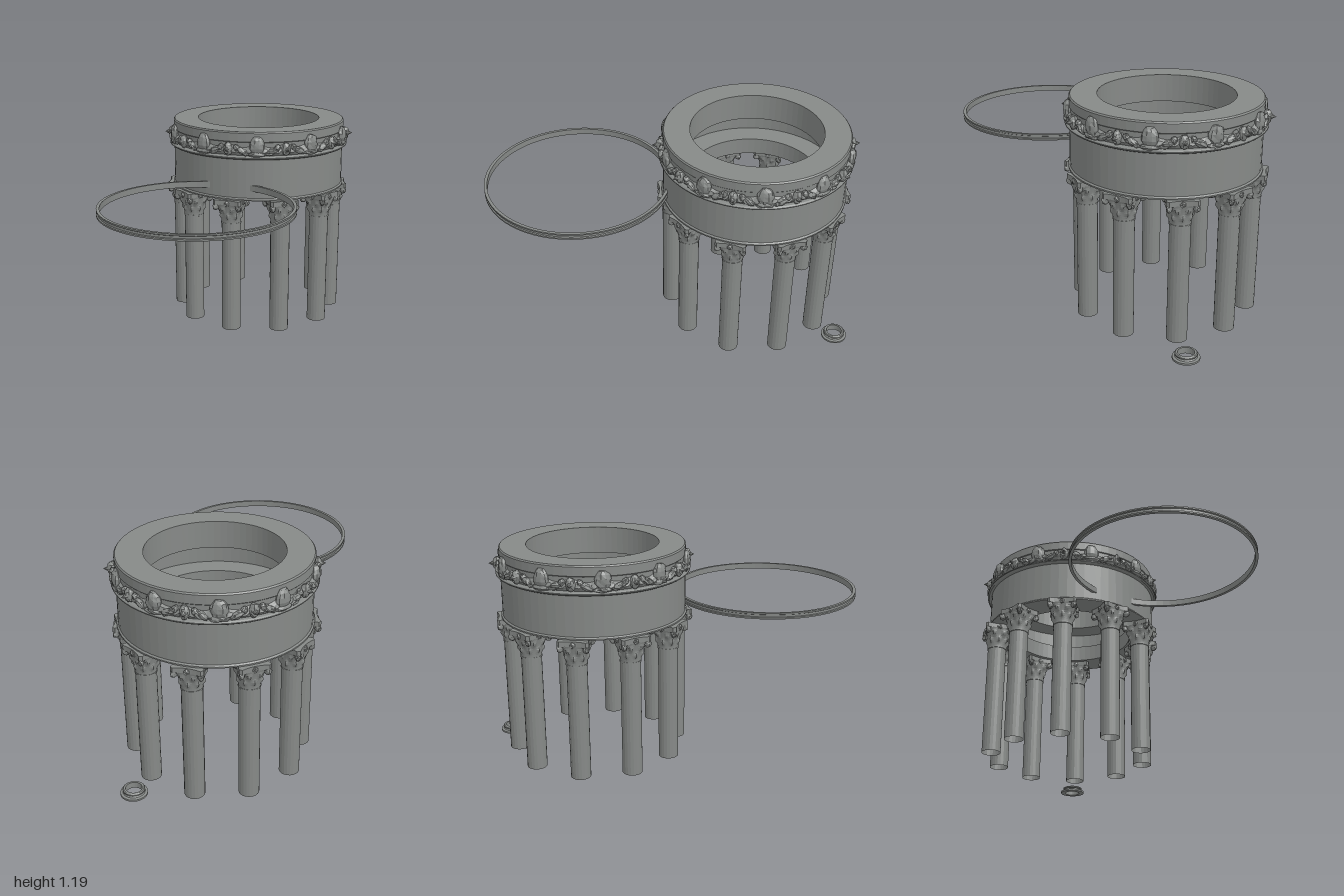
import * as THREE from 'three';
import { mergeGeometries } from 'three/addons/utils/BufferGeometryUtils.js';

const CZ = -0.445; // centre of the round temple in z
const COUNT = 10;
const STEP = (Math.PI * 2) / COUNT;

const stone = new THREE.MeshStandardMaterial({ color: 0x868987, flatShading: true, side: THREE.DoubleSide });
stone.name = 'grey stone';

function add(parent, name, geometry, x = 0, y = 0, z = 0) {
  const mesh = new THREE.Mesh(geometry, stone);
  mesh.name = name;
  mesh.position.set(x, y, z);
  parent.add(mesh);
  return mesh;
}

// Closed ring turned from [radius, height] points
function turned(points, segments) {
  const loop = [...points, points[0]];
  return new THREE.LatheGeometry(loop.map(([r, y]) => new THREE.Vector2(r, y)), segments);
}

// Rough carved lump: a sphere dented by a smooth rule
function lump(w, h, d, seed, rough = 0.1) {
  const g = new THREE.SphereGeometry(1, 10, 7);
  const p = g.attributes.position;
  const v = new THREE.Vector3();
  for (let i = 0; i < p.count; i++) {
    v.fromBufferAttribute(p, i);
    const k = 1 + rough * (Math.sin(v.x * 5 + seed) * Math.cos(v.y * 4 - seed) + 0.6 * Math.sin(v.z * 7 + v.y * 5 + seed * 2));
    p.setXYZ(i, v.x * k * w, v.y * k * h, v.z * k * d);
  }
  g.computeVertexNormals();
  return g;
}

// Leafy capital: round at the neck, growing square at the top
function capitalGeometry() {
  const h = 0.115;
  const g = new THREE.CylinderGeometry(1, 1, 1, 40, 12, true);
  const p = g.attributes.position;
  for (let i = 0; i < p.count; i++) {
    const x = p.getX(i), z = p.getZ(i);
    const t = THREE.MathUtils.clamp(p.getY(i) + 0.5, 0, 1);
    const a = Math.atan2(x, z);
    const square = Math.min(1.32, 1 / Math.max(Math.abs(x), Math.abs(z)));
    const lower = Math.exp(-(((t - 0.38) / 0.12) ** 2)) * Math.max(0, Math.cos(a * 8));
    const upper = Math.exp(-(((t - 0.72) / 0.14) ** 2)) * Math.max(0, -Math.cos(a * 8));
    const r = (0.054 + 0.02 * t ** 1.6) * (1 + (square - 1) * t ** 2.5) + 0.011 * lower + 0.01 * upper;
    p.setXYZ(i, x * r, t * h, z * r);
  }
  g.computeVertexNormals();
  const parts = [g];
  // Concave-sided top slab
  const s = new THREE.Shape();
  const c = 0.081, e = 0.068;
  s.moveTo(-e, -c);
  s.quadraticCurveTo(0, -0.058, e, -c);
  s.lineTo(c, -e);
  s.quadraticCurveTo(0.058, 0, c, e);
  s.lineTo(e, c);
  s.quadraticCurveTo(0, 0.058, -e, c);
  s.lineTo(-c, e);
  s.quadraticCurveTo(-0.058, 0, -c, -e);
  const slab = new THREE.ExtrudeGeometry(s, { depth: 0.028, bevelEnabled: false, curveSegments: 6 });
  slab.rotateX(-Math.PI / 2).translate(0, 0.112, 0);
  parts.push(slab);
  // Corner scrolls and centre flowers
  for (let k = 0; k < 4; k++) {
    parts.push(lump(0.013, 0.02, 0.02, k).translate(0, 0.1, 0.092).rotateY(Math.PI / 4 + (k * Math.PI) / 2));
    parts.push(lump(0.015, 0.016, 0.012, k + 3, 0.15).translate(0, 0.12, 0.068).rotateY((k * Math.PI) / 2));
  }
  return mergeGeometries(parts.map((q) => (q.index ? q.toNonIndexed() : q)));
}

// Carved garland band with a wavy surface
function garlandGeometry() {
  const g = new THREE.CylinderGeometry(1, 1, 1, 160, 5, true);
  const p = g.attributes.position;
  for (let i = 0; i < p.count; i++) {
    const x = p.getX(i), z = p.getZ(i), t = p.getY(i) + 0.5;
    const a = Math.atan2(x, z);
    const r = 0.486 + 0.02 * Math.sin(Math.PI * t) * (1 + 0.3 * Math.sin(a * 40 + t * 5) * Math.cos(t * 8));
    const height = 0.056 + 0.008 * Math.cos(a * 20);
    p.setXYZ(i, x * r, 1.056 + t * height, z * r);
  }
  g.computeVertexNormals();
  return g;
}

export function createModel() {
  const model = new THREE.Group();
  model.name = 'roundTemple';
  const temple = new THREE.Group();
  temple.name = 'temple';
  temple.position.z = CZ;
  model.add(temple);

  // Hollow drum with a recess inside
  add(temple, 'drum', turned([
    [0.35, 0.81], [0.498, 0.81], [0.498, 0.817], [0.49, 0.824], [0.49, 1.043],
    [0.47, 1.043], [0.47, 0.905], [0.35, 0.905],
  ], 64));
  add(temple, 'crownRing', turned([
    [0.35, 1.04], [0.506, 1.04], [0.514, 1.046], [0.514, 1.051], [0.506, 1.057],
    [0.488, 1.06], [0.488, 1.13], [0.492, 1.134], [0.492, 1.18], [0.486, 1.187], [0.35, 1.187],
  ], 64));

  // Carved frieze: large ovals, small pointed bosses and leaves
  add(temple, 'garland', garlandGeometry());
  const ornaments = new THREE.Group();
  ornaments.name = 'friezeOrnaments';
  temple.add(ornaments);
  for (let i = 0; i < COUNT; i++) {
    const bay = new THREE.Group();
    bay.name = 'friezeBay';
    bay.rotation.y = i * STEP;
    ornaments.add(bay);
    add(bay, 'smallBoss', lump(0.025, 0.036, 0.024, i, 0.07), 0, 1.096, 0.503);
    const tip = add(bay, 'bossPoint', new THREE.ConeGeometry(0.02, 0.036, 8), 0, 1.096, 0.529);
    tip.rotation.x = Math.PI / 2;
    const half = new THREE.Group();
    half.name = 'ovalMount';
    half.rotation.y = STEP / 2;
    bay.add(half);
    add(half, 'largeOval', lump(0.042, 0.053, 0.026, i + 2, 0.08), 0, 1.112, 0.495);
    add(half, 'ovalFoot', lump(0.05, 0.017, 0.023, i + 5, 0.12), 0, 1.07, 0.497);
    for (const side of [-1, 1]) {
      const arm = new THREE.Group();
      arm.name = 'leafMount';
      arm.rotation.y = side * STEP * 0.23;
      bay.add(arm);
      const leaf = add(arm, 'leaf', lump(0.037, 0.017, 0.019, i + side, 0.15), side * 0.006, 1.084, 0.501);
      leaf.rotation.z = side * -0.45;
      const curl = add(arm, 'leafCurl', lump(0.016, 0.02, 0.017, i * 2 + side, 0.12), side * -0.026, 1.102, 0.498);
      curl.rotation.z = side * 0.5;
    }
  }

  // Ring of open-ended columns with capitals
  const shaft = new THREE.CylinderGeometry(0.053, 0.053, 0.625, 20, 1, true);
  const neck = new THREE.CylinderGeometry(0.056, 0.056, 0.008, 20);
  const capital = capitalGeometry();
  for (let i = 0; i < COUNT; i++) {
    const column = new THREE.Group();
    column.name = 'column';
    column.position.set(Math.sin(i * STEP) * 0.44 - 0.005, 0, Math.cos(i * STEP) * 0.44);
    column.rotation.y = i * STEP;
    temple.add(column);
    add(column, 'shaft', shaft, 0, 0.3525, 0);
    add(column, 'neckRing', neck, 0, 0.67, 0);
    add(column, 'capital', capital, 0, 0.668, 0);
  }

  // Separate large hoop with a grooved edge
  add(model, 'hoop', turned([
    [0.484, 0.864], [0.5, 0.864], [0.5, 0.872], [0.494, 0.875], [0.494, 0.886],
    [0.5, 0.889], [0.5, 0.897], [0.484, 0.897],
  ], 80), 0, 0, 0.5);

  // Separate column base lying on the ground
  add(model, 'columnBase', turned([
    [0.042, 0], [0.07, 0], [0.07, 0.01], [0.057, 0.013], [0.052, 0.02],
    [0.057, 0.024], [0.057, 0.03], [0.052, 0.034], [0.042, 0.034],
  ], 28), 0.308, 0, -0.92);

  return model;
}
